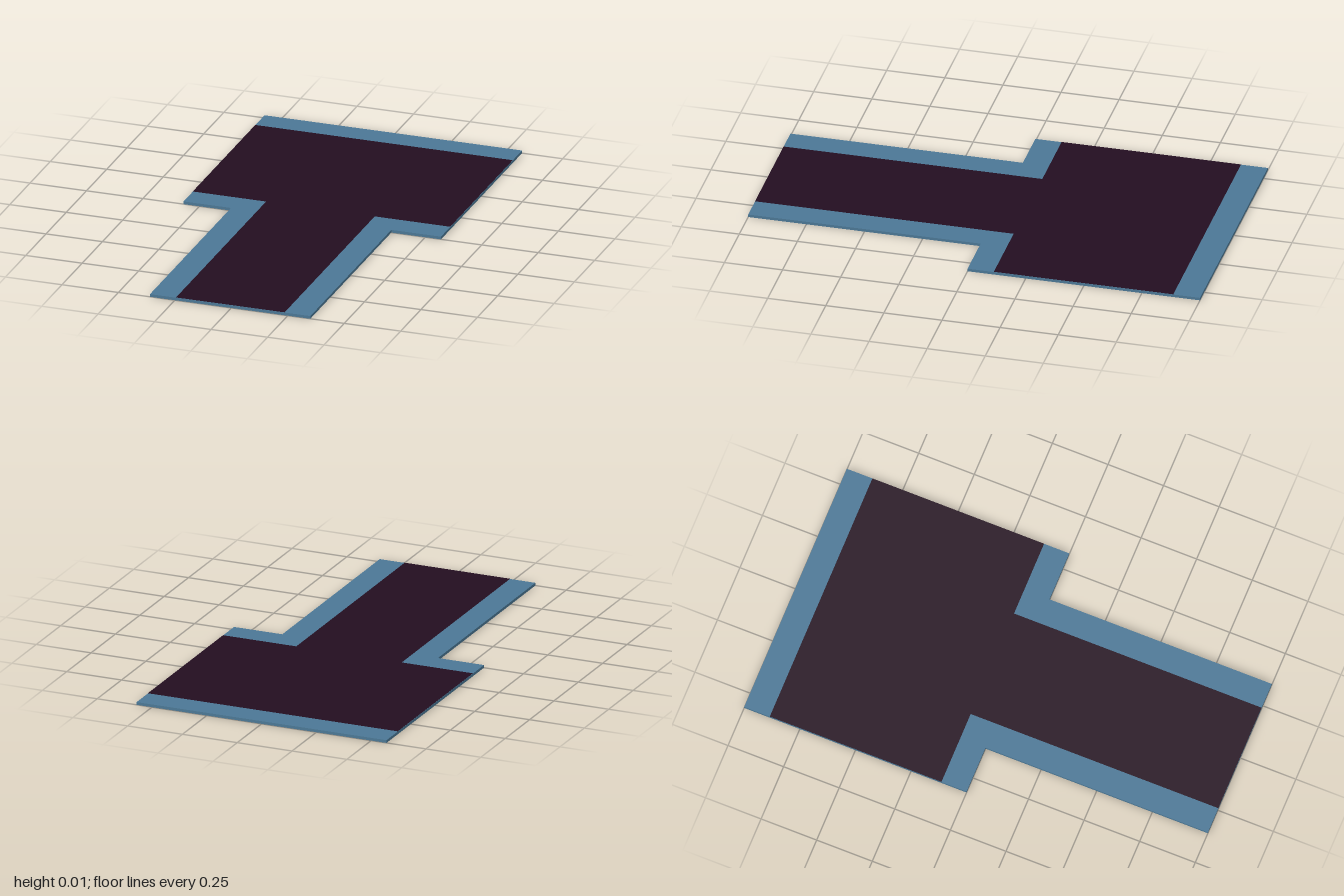
import * as THREE from 'three';

const pavement = new THREE.MeshStandardMaterial({ color: 0x4b7795 });
pavement.name = 'blue pavement';
const asphalt = new THREE.MeshStandardMaterial({ color: 0x230d20 });
asphalt.name = 'dark asphalt';

const HEIGHT = 0.012;

// T outline: crossbar between z = back and z = inner, stem reaching z = 1
function tShape(back, inner, stemRight, stemLeft) {
  const bar = 0.57;
  return new THREE.Shape([
    [stemRight, -1], [stemLeft, -1], [stemLeft, -inner], [bar, -inner],
    [bar, -back], [-bar, -back], [-bar, -inner], [stemRight, -inner],
  ].map(([x, y]) => new THREE.Vector2(x, y)));
}

function addFlat(group, name, geometry, material, y) {
  geometry.rotateX(-Math.PI / 2);
  const mesh = new THREE.Mesh(geometry, material);
  mesh.name = name;
  mesh.position.y = y;
  group.add(mesh);
}

export function createModel() {
  const group = new THREE.Group();
  group.name = 'roadJunction';

  // Slab whose visible margins are the pavements
  const slab = new THREE.ExtrudeGeometry(tShape(-1, 0, -0.36, 0.35), { depth: HEIGHT, bevelEnabled: false });
  addFlat(group, 'pavementSlab', slab, pavement, 0);

  // Thin road surface on top
  const road = new THREE.ShapeGeometry(tShape(-0.885, -0.113, -0.245, 0.236));
  addFlat(group, 'roadSurface', road, asphalt, HEIGHT + 0.001);

  return group;
}
